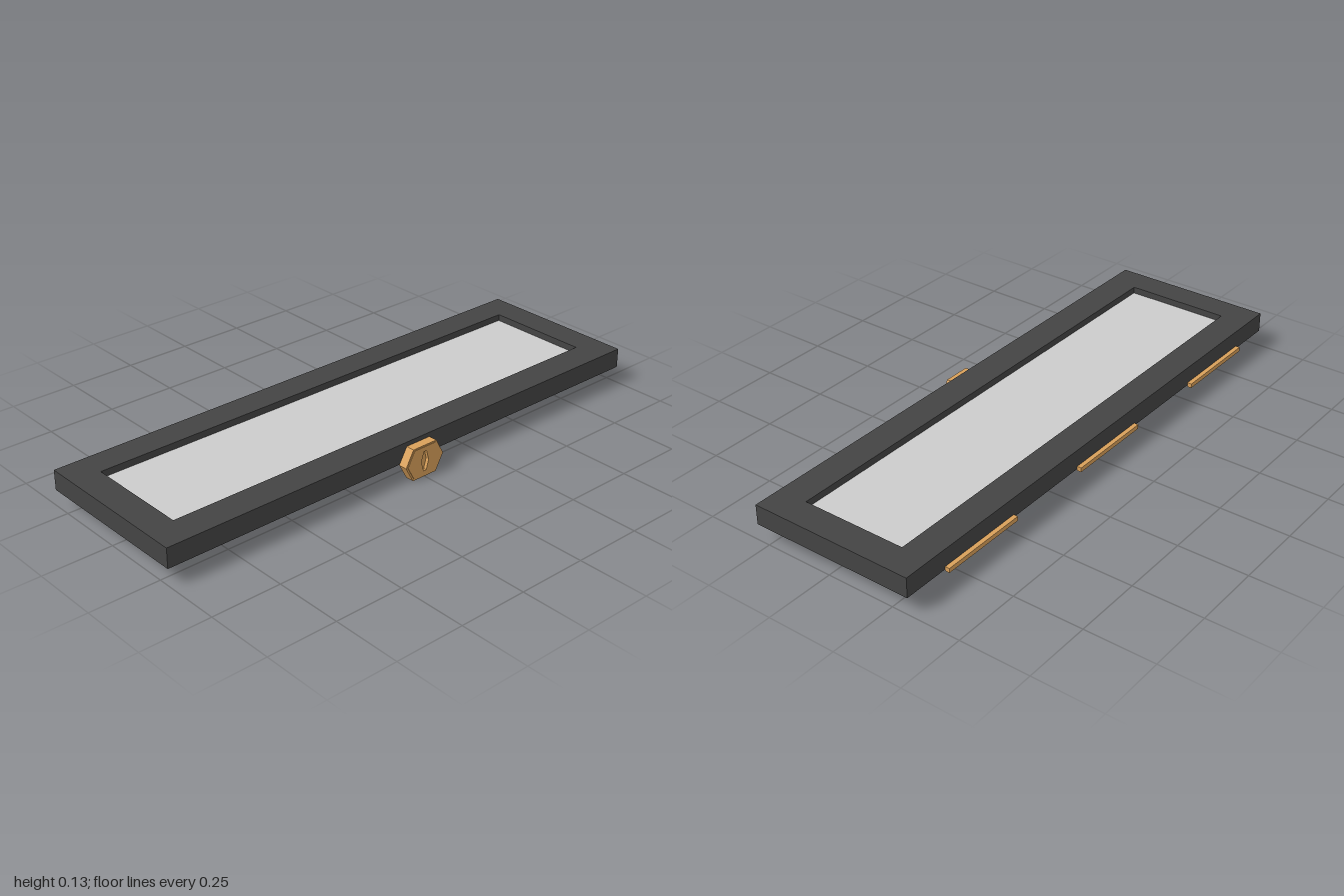
import * as THREE from 'three';

const material = (color) => new THREE.MeshStandardMaterial({ color, flatShading: true });

// Closed outline from a list of [x, y] corners
const outline = (Type, points) => new Type(points.map(([x, y]) => new THREE.Vector2(x, y)));

// Rectangle corners, counter-clockwise
const rect = (x, y0, y1) => [[-x, y0], [x, y0], [x, y1], [-x, y1]];

// Hexagon: half width w at the middle, e at the ends, half height h
const hexagon = (w, e, h) => [[w, 0], [e, h], [-e, h], [-w, 0], [-e, -h], [e, -h]];

// Flat plate with an optional hole
function plate(outer, hole, depth) {
  const shape = outline(THREE.Shape, outer);
  if (hole) shape.holes.push(outline(THREE.Path, hole));
  return new THREE.ExtrudeGeometry(shape, { depth, bevelEnabled: false });
}

export function createModel() {
  const group = new THREE.Group();
  const dark = material(0x444444);
  const brass = material(0xd9a05a);
  const grey = material(0xcccccc);

  const add = (parent, name, geometry, mat, x, y, z) => {
    const mesh = new THREE.Mesh(geometry, mat);
    mesh.name = name;
    mesh.position.set(x, y, z);
    parent.add(mesh);
    return mesh;
  };

  // Lid frame, drawn flat (shape y becomes -z) and extruded upwards
  const frame = plate(rect(1, -0.293, 0.31), rect(0.896, -0.182, 0.204), 0.072);
  frame.rotateX(-Math.PI / 2);
  add(group, 'frame', frame, dark, 0, 0.06, 0);

  // Pane set into the opening, recessed from both faces
  add(group, 'pane', new THREE.BoxGeometry(1.792, 0.024, 0.386), grey, 0, 0.096, -0.011);

  // Three hinge bars along the lower back edge
  const hinges = new THREE.Group();
  hinges.name = 'hinges';
  for (const x of [-0.665, 0, 0.665]) {
    add(hinges, 'hinge', new THREE.BoxGeometry(0.33, 0.016, 0.016), brass, x, 0.062, -0.318);
  }
  group.add(hinges);

  // Hexagonal latch: solid back, pierced front and a thin raised face
  const latch = new THREE.Group();
  latch.name = 'latch';
  const keyhole = hexagon(0.016, 0.006, 0.036);
  const body = hexagon(0.083, 0.051, 0.058);
  const face = hexagon(0.076, 0.047, 0.053);
  add(latch, 'latchBack', plate(body, null, 0.022), brass, 0, 0, 0);
  add(latch, 'latchFront', plate(body, keyhole, 0.01), brass, 0, 0, 0.022);
  add(latch, 'latchFace', plate(face, keyhole, 0.002), brass, 0, 0, 0.032);
  latch.position.set(0, 0.058, 0.293);
  group.add(latch);

  return group;
}
